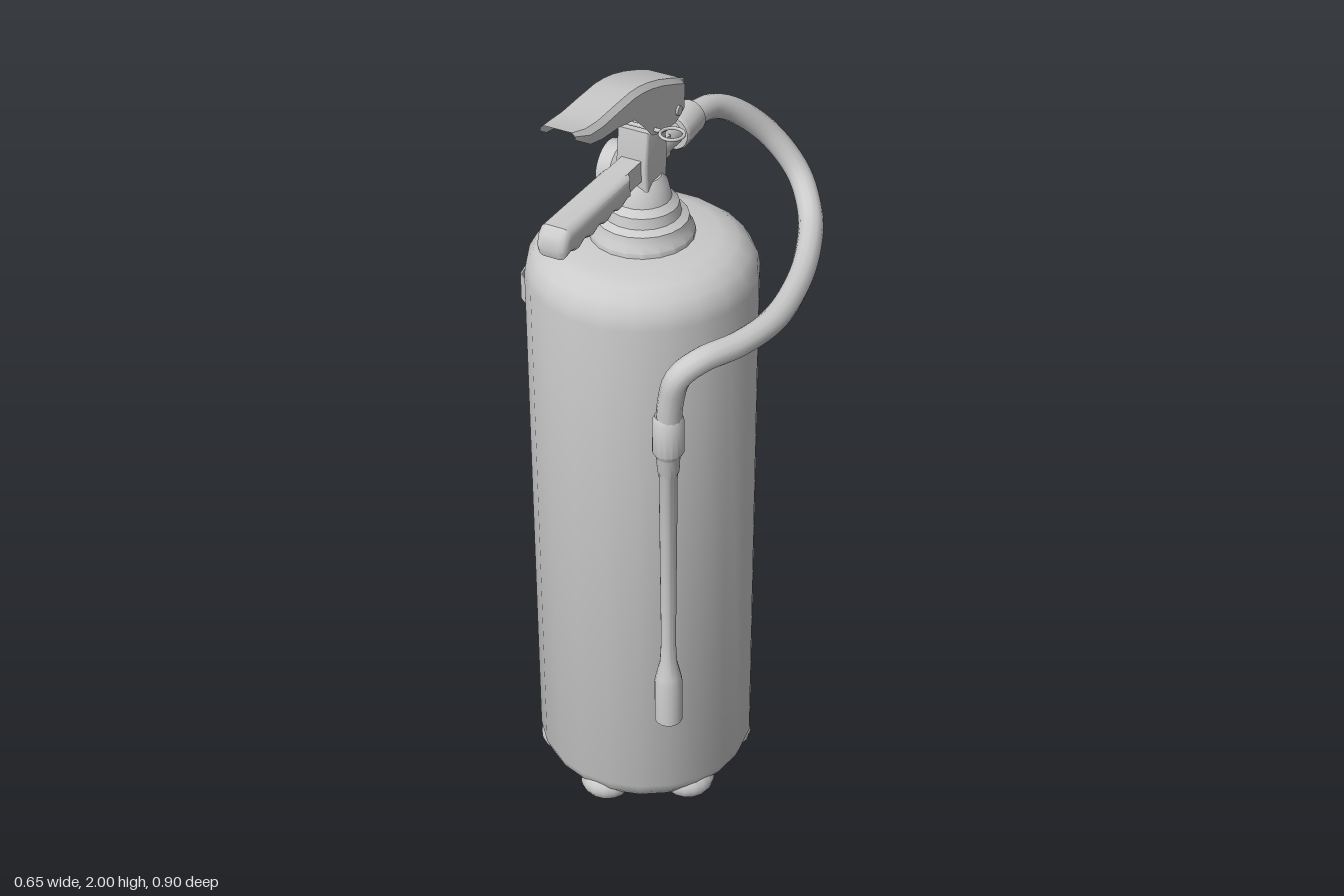
import * as THREE from 'three';
import { toCreasedNormals } from 'three/addons/utils/BufferGeometryUtils.js';

const CX = -0.035, CZ = 0.07; // tank axis
const solid = new THREE.MeshStandardMaterial({ color: 0xcccccc });
const sheet = new THREE.MeshStandardMaterial({ color: 0xcccccc, side: THREE.DoubleSide });

export function createModel() {
  const root = new THREE.Group();
  const head = new THREE.Group();
  head.name = 'valveHead';
  head.position.set(CX, 0, CZ);
  head.rotation.y = 0.43;
  root.add(head);

  const add = (parent, name, geo, x = 0, y = 0, z = 0, mat = solid) => {
    const m = new THREE.Mesh(geo, mat);
    m.name = name;
    m.position.set(x, y, z);
    parent.add(m);
    return m;
  };
  const lathe = (pts, seg, crease = 0.6) =>
    toCreasedNormals(new THREE.LatheGeometry(pts.map(p => new THREE.Vector2(...p)), seg), crease);
  const curve = pts => new THREE.CatmullRomCurve3(pts.map(p => new THREE.Vector3(...p)));
  // side profile given as [z, y], extruded across x
  const sideExtrude = (pts, width, bevel) => {
    const shape = new THREE.Shape(pts.map(p => new THREE.Vector2(...p)));
    const geo = new THREE.ExtrudeGeometry(shape, {
      depth: width - 2 * bevel, bevelEnabled: bevel > 0, bevelSize: bevel,
      bevelThickness: bevel, bevelOffset: -bevel, bevelSegments: 3,
    });
    geo.translate(0, 0, -width / 2 + bevel);
    geo.rotateY(-Math.PI / 2);
    return toCreasedNormals(geo, 0.7);
  };

  // Tank
  add(root, 'tank', lathe([[0, 0.045], [0.245, 0.045], [0.26, 0.065], [0.272, 0.095], [0.272, 1.46],
    [0.267, 1.49], [0.25, 1.52], [0.22, 1.543], [0.18, 1.554], [0.1, 1.56], [0, 1.56]], 22), CX, 0, CZ);

  // Rounded feet
  for (let i = 0; i < 6; i++) {
    const a = 0.42 + i * Math.PI / 3;
    const foot = add(root, 'foot', new THREE.SphereGeometry(0.068, 16, 12),
      CX + 0.205 * Math.sin(a), 0.048, CZ + 0.205 * Math.cos(a));
    foot.scale.y = 0.7;
  }

  // Stepped neck
  add(root, 'neck', lathe([[0.122, 1.55], [0.122, 1.57], [0.112, 1.585], [0.108, 1.605], [0.09, 1.615],
    [0.085, 1.64], [0.068, 1.655], [0.06, 1.69], [0.045, 1.71], [0, 1.71]], 20), CX, 0, CZ);

  // Valve body, collar and stem
  add(head, 'valveBody', sideExtrude([[-0.045, 1.67], [0.045, 1.67], [0.05, 1.76], [0.04, 1.84],
    [-0.04, 1.84], [-0.05, 1.76]], 0.078, 0.006));
  add(head, 'valveStem', new THREE.CylinderGeometry(0.02, 0.02, 0.1, 12), 0, 1.88, 0);
  const hinge = add(head, 'hingePin', new THREE.CylinderGeometry(0.012, 0.012, 0.12, 10), 0, 1.85, -0.07);
  hinge.rotation.z = Math.PI / 2;
  add(head, 'hingeLug', new THREE.BoxGeometry(0.06, 0.07, 0.06), 0, 1.83, -0.05);

  // Squeeze lever: open channel through stations [z, top, flange bottom, half width]
  const stations = [[-0.135, 1.895, 1.87, 0.035], [-0.105, 1.912, 1.84, 0.053], [-0.06, 1.932, 1.825, 0.055],
    [0.0, 1.956, 1.828, 0.055], [0.05, 1.972, 1.845, 0.055], [0.09, 1.981, 1.885, 0.055],
    [0.13, 1.986, 1.922, 0.055], [0.2, 1.986, 1.938, 0.055], [0.27, 1.985, 1.945, 0.055],
    [0.32, 1.99, 1.956, 0.054], [0.365, 2.0, 1.985, 0.042]];
  const pos = [], idx = [], N = 6;
  stations.forEach(([z, t, b, w], i) => {
    const c = Math.min(0.012, (t - b) / 2);
    for (const [x, y] of [[-w, b], [-w, t - c], [-w + c, t], [w - c, t], [w, t - c], [w, b]]) pos.push(x, y, z);
    if (!i) return;
    for (let j = 0; j < N - 1; j++) {
      const p = (i - 1) * N + j, q = p + N;
      idx.push(p, q, p + 1, q, q + 1, p + 1);
    }
  });
  let lever = new THREE.BufferGeometry();
  lever.setAttribute('position', new THREE.Float32BufferAttribute(pos, 3));
  lever.setIndex(idx);
  add(head, 'squeezeLever', toCreasedNormals(lever, 0.6), 0, 0, 0, sheet);
  // back wall of the lever
  add(head, 'leverBack', new THREE.BoxGeometry(0.07, 0.035, 0.006), 0, 1.877, -0.132);

  // Carrying handle with finger grooves
  const grip = [[0.11, 1.772], [0.11, 1.712]];
  for (let i = 0; i <= 20; i++) grip.push([0.13 + i * 0.0125, 1.709 + 0.005 * Math.cos(i * Math.PI / 2.5)]);
  grip.push([0.405, 1.708], [0.412, 1.73], [0.402, 1.76], [0.385, 1.775]);
  add(head, 'carryGrip', sideExtrude(grip.reverse(), 0.076, 0.018));
  add(head, 'handleBar', new THREE.BoxGeometry(0.05, 0.052, 0.24), 0, 1.745, 0.03);

  // Safety pin and pull ring
  const pin = add(head, 'safetyPin', new THREE.CylinderGeometry(0.005, 0.005, 0.155, 8), -0.007, 1.855, 0.04);
  pin.rotation.z = Math.PI / 2;
  const ring = add(head, 'pullRing', new THREE.TorusGeometry(0.027, 0.004, 8, 24), 0.098, 1.855, 0.04);
  ring.rotation.x = Math.PI / 2;

  // Pressure gauge with recessed dial
  const gauge = add(head, 'pressureGauge', lathe([[0, -0.022], [0.055, -0.022], [0.064, -0.012], [0.064, 0.022],
    [0.052, 0.022], [0.048, 0.012], [0, 0.012]], 24), -0.088, 1.68, -0.045);
  gauge.rotation.z = Math.PI / 2;
  const stem = add(head, 'gaugeStem', new THREE.CylinderGeometry(0.018, 0.018, 0.07, 12), -0.045, 1.69, -0.035);
  stem.rotation.z = Math.PI / 2;

  // Hose coupling
  const outlet = add(head, 'hoseOutlet', new THREE.CylinderGeometry(0.03, 0.03, 0.12, 12), 0, 1.745, -0.09);
  outlet.rotation.x = Math.PI / 2;
  const coupling = add(head, 'hoseCoupling', lathe([[0, -0.05], [0.036, -0.05], [0.041, -0.044], [0.046, 0.04],
    [0.042, 0.048], [0, 0.048]], 18), 0, 1.745, -0.188);
  coupling.rotation.x = Math.PI / 2;

  // Hose
  const hose = curve([[-0.112, 1.745, -0.1], [-0.135, 1.743, -0.16], [-0.157, 1.728, -0.235], [-0.152, 1.69, -0.305],
    [-0.12, 1.615, -0.38], [-0.06, 1.53, -0.415], [0.02, 1.47, -0.385], [0.11, 1.442, -0.305],
    [0.2, 1.428, -0.195], [0.27, 1.42, -0.07], [0.294, 1.415, 0.05], [0.286, 1.408, 0.15],
    [0.27, 1.375, 0.2], [0.255, 1.31, 0.21], [0.245, 1.22, 0.21]]);
  add(root, 'hose', new THREE.TubeGeometry(hose, 72, 0.03, 12));

  // Nozzle wand
  add(root, 'nozzle', lathe([[0, 0.39], [0.027, 0.39], [0.03, 0.36], [0.034, 0.36], [0.034, 0.48], [0.03, 0.5],
    [0.021, 0.54], [0.018, 0.6], [0.022, 1.1], [0.026, 1.11], [0.028, 1.15], [0.037, 1.165],
    [0.037, 1.25], [0.031, 1.262], [0, 1.262]], 16), 0.245, 0, 0.21);

  // Strap clip on the tank side
  const strap = [[-0.305, 0.04], [-0.308, 0.095], [-0.328, 0.12], [-0.318, 0.165], [-0.296, 0.215],
    [-0.268, 0.253], [-0.232, 0.26], [-0.185, 0.297]];
  const t = 0.004;
  const outline = new THREE.Shape([...strap, ...strap.map(([x, z]) => [x + t, z - t * 0.5]).reverse()]
    .map(([x, z]) => new THREE.Vector2(x, -z)));
  const clip = new THREE.ExtrudeGeometry(outline, { depth: 0.07, bevelEnabled: false });
  clip.rotateX(-Math.PI / 2);
  add(root, 'strapClip', clip, 0, 1.33, 0, sheet);

  return root;
}
